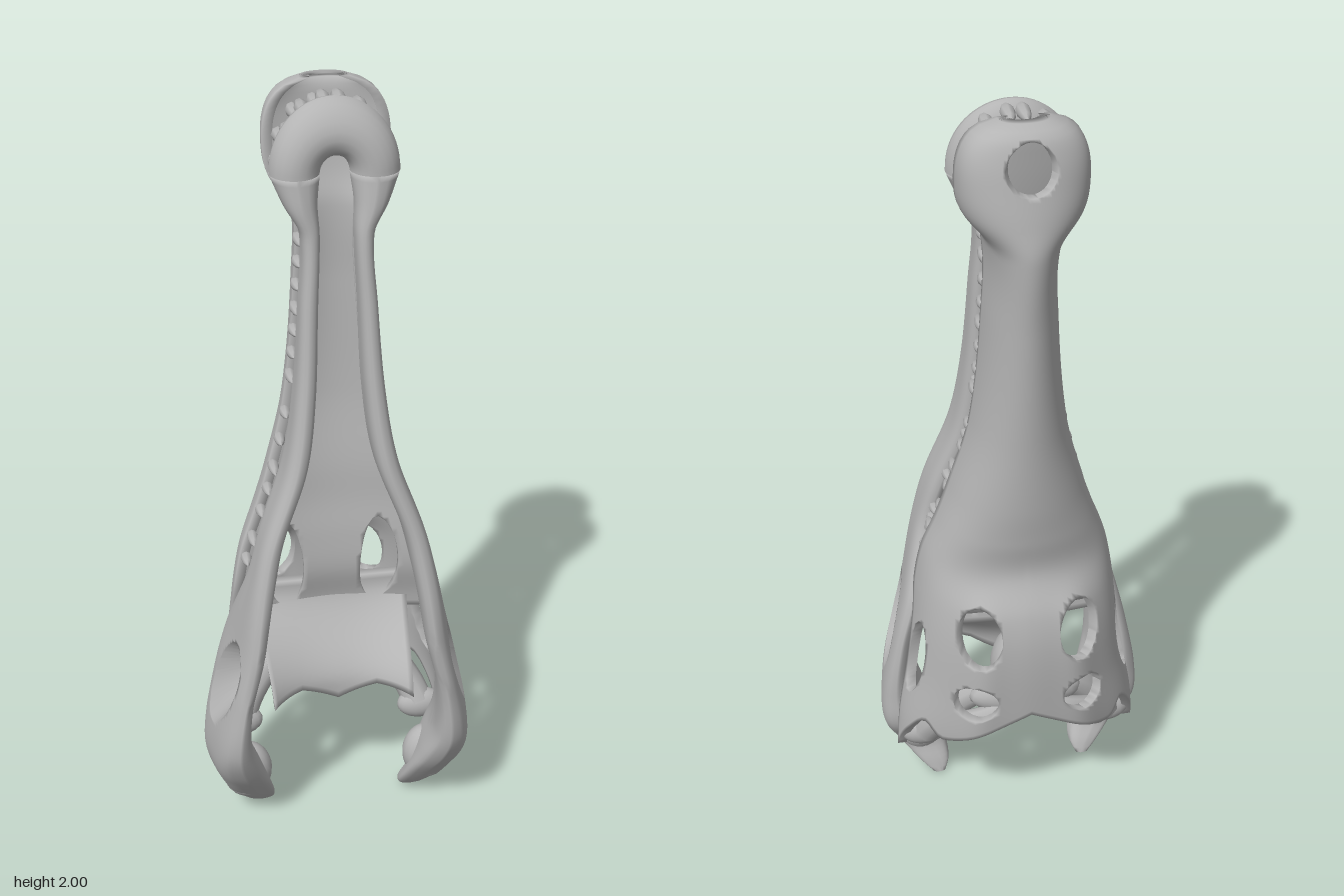
import * as THREE from 'three';

const bone = new THREE.MeshStandardMaterial({ color: 0xb4b4b4, side: THREE.DoubleSide });
bone.name = 'bone grey';
const { smoothstep } = THREE.MathUtils;

// Smooth interpolation of rows [key, a, b, ...] sorted by rising key
function table(rows) {
  return (k, col = 1) => {
    const n = rows.length;
    if (k <= rows[0][0]) return rows[0][col];
    if (k >= rows[n - 1][0]) return rows[n - 1][col];
    let i = 0;
    while (k > rows[i + 1][0]) i++;
    const slope = j => {
      const a = rows[Math.max(j - 1, 0)], b = rows[Math.min(j + 1, n - 1)];
      return (b[col] - a[col]) / (b[0] - a[0]);
    };
    const p = rows[i], q = rows[i + 1], h = q[0] - p[0], t = (k - p[0]) / h;
    const t2 = t * t, t3 = t2 * t;
    return (2 * t3 - 3 * t2 + 1) * p[col] + (t3 - 2 * t2 + t) * h * slope(i)
      + (3 * t2 - 2 * t3) * q[col] + (t3 - t2) * h * slope(i + 1);
  };
}

// Thick curved plate: pos(u, y, side) gives both faces. Holes are ellipses in (u, y):
// [u, y, ru, ry, tilt, scale, du, dy], the last three reshaping the hole on the second face
function sheet(nu, ny, low, high, pos, holes = []) {
  const verts = [], inside = [], index = [], edges = new Map();
  const count = (nu + 1) * (ny + 1);
  for (let side = 0; side < 2; side++) {
    for (let j = 0; j <= ny; j++) for (let i = 0; i <= nu; i++) {
      let u = -1 + 2 * i / nu, y = low(u) + (high - low(u)) * j / ny, hit = -1;
      holes.forEach(([u0, y0, ru, ry, tilt = 0, scale = 1, su = 0, sy = 0], h) => {
        const dy = (y - y0) / ry, du = (u - u0 - tilt * (y - y0)) / ru;
        const d = Math.hypot(du, dy);
        if (d < 1) {
          hit = h;
          const s = 1 / Math.max(d, 1e-4);
          y = y0 + dy * s * ry;
          u = u0 + du * s * ru + tilt * (y - y0);
        }
        const w = side * Math.min(1, Math.max(0, (1.6 - d) / 0.6));
        u += w * (su + (u - u0) * (scale - 1));
        y += w * (sy + (y - y0) * (scale - 1));
      });
      verts.push(...pos(u, y, side));
      inside.push(hit);
    }
  }
  const tri = (a, b, c) => {
    if (inside[a] >= 0 && inside[a] === inside[b] && inside[a] === inside[c]) return;
    index.push(a, b, c, c + count, b + count, a + count);
    for (const [p, q] of [[a, b], [b, c], [c, a]]) {
      if (!edges.delete(q + '_' + p)) edges.set(p + '_' + q, [p, q]);
    }
  };
  for (let j = 0; j < ny; j++) for (let i = 0; i < nu; i++) {
    const a = j * (nu + 1) + i, b = a + 1, c = a + nu + 1, d = c + 1;
    tri(a, b, d);
    tri(a, d, c);
  }
  // Rim walls around the outline and the openings
  for (const [a, b] of edges.values()) index.push(b, a, a + count, b, a + count, b + count);
  const g = new THREE.BufferGeometry();
  g.setAttribute('position', new THREE.Float32BufferAttribute(verts, 3));
  g.setIndex(index);
  g.computeVertexNormals();
  return g;
}

// Cranium by height: half width, tooth-line z, roof z, roundness of the arch
const cranium = table([
  [0.17, 0.33, -0.03, -0.2, 1], [0.3, 0.32, -0.025, -0.24, 1], [0.45, 0.292, -0.01, -0.255, 0.95],
  [0.6, 0.272, 0, -0.255, 0.9], [0.7, 0.262, 0.02, -0.235, 0.85], [0.8, 0.242, 0.015, -0.187, 0.75],
  [0.9, 0.205, 0, -0.195, 0.75], [1.0, 0.172, -0.01, -0.205, 0.78], [1.2, 0.12, -0.04, -0.215, 0.85],
  [1.5, 0.09, -0.05, -0.235, 0.85], [1.7, 0.09, -0.05, -0.255, 0.8], [1.78, 0.143, -0.07, -0.245, 0.72],
  [1.85, 0.155, -0.082, -0.232, 0.65], [1.93, 0.145, -0.092, -0.215, 0.6], [1.98, 0.11, -0.098, -0.195, 0.6],
  [2.0, 0.06, -0.11, -0.165, 0.6],
]);
const rearEdge = table([[0, 0.4], [0.25, 0.34], [0.5, 0.29], [0.65, 0.33], [0.8, 0.27], [1, 0.17]]);

// Lower jaw by height: outer x, inner x, front z, tooth-line z
const jaw = table([
  [0, 0.225, 0.19, 0.05, 0.022], [0.03, 0.255, 0.175, 0.085, 0.03], [0.1, 0.31, 0.185, 0.14, 0.05],
  [0.2, 0.355, 0.215, 0.21, 0], [0.3, 0.352, 0.25, 0.252, 0], [0.45, 0.32, 0.25, 0.26, 0],
  [0.6, 0.285, 0.215, 0.258, 0.01], [0.7, 0.262, 0.197, 0.25, 0.05], [0.8, 0.237, 0.178, 0.235, 0.085],
  [0.92, 0.205, 0.15, 0.215, 0.075], [1.1, 0.142, 0.085, 0.185, 0.045], [1.28, 0.112, 0.06, 0.155, 0.03],
  [1.5, 0.095, 0.05, 0.125, 0.022], [1.68, 0.088, 0.042, 0.105, 0.01], [1.75, 0.125, 0.044, 0.1, -0.01],
  [1.82, 0.155, 0.035, 0.09, -0.03],
]);

export function createModel() {
  const model = new THREE.Group();
  const add = (name, geometry, parent = model) => {
    const m = new THREE.Mesh(geometry, bone);
    m.name = name;
    parent.add(m);
    return m;
  };
  const ball = (name, x, y, z, rx, ry, rz) => {
    const m = add(name, new THREE.SphereGeometry(1, 20, 14));
    m.position.set(x, y, z);
    m.scale.set(rx, ry, rz);
  };
  const tube = (name, points, r) => add(name, new THREE.TubeGeometry(
    new THREE.CatmullRomCurve3(points.map(p => new THREE.Vector3(...p))), 16, r, 10));

  // Skull roof with nostril, eye sockets, temple and cheek openings
  const roofHoles = [[0, 1.91, 0.26, 0.06]];
  for (const s of [-1, 1]) roofHoles.push(
    [s * 0.33, 0.64, 0.15, 0.085], [s * 0.33, 0.44, 0.14, 0.055], [s * 0.85, 0.495, 0.11, 0.115, s * -0.2]);
  add('skullRoof', sheet(56, 130, u => rearEdge(Math.abs(u)), 2, (u, y, side) => {
    const a = u * Math.PI / 2, t = 0.025 * side;
    const zf = cranium(y, 2), zb = cranium(y, 3) + t;
    const arch = Math.pow(Math.max(Math.cos(a), 0), cranium(y, 4));
    const brow = 0.015 * smoothstep(0.78 - y, 0, 0.1) * Math.exp(-Math.pow((Math.abs(u) - 0.3) / 0.12, 2));
    return [(cranium(y, 1) - t) * Math.sin(a), y, zf + (zb - zf) * arch - brow];
  }, roofHoles));

  // Palate with its two long openings
  add('palate', sheet(32, 90, () => 0.56, 1.995, (u, y, side) => [
    cranium(y, 1) * 0.97 * u, y, cranium(y, 2) - 0.025 * (1 - u * u) - 0.015 * side,
  ], [[0.5, 0.72, 0.2, 0.13, 0.4], [-0.5, 0.72, 0.2, 0.13, -0.4]]));

  // Saddle-shaped plate sloping forward, with wings between the jaws
  add('palateWings', sheet(28, 16, u => 0.36 + 0.05 * Math.min(1, Math.abs(u) * 2), 0.66, (u, y, side) => {
    const f = smoothstep(0.64 - y, 0, 0.24);
    return [0.205 * u * (1 - 0.1 * f * u * u), y, -0.03 + f * (0.13 + 0.1 * Math.abs(u) ** 2.2) - 0.025 * side];
  }));

  // Braincase, rear wall and neck joint
  ball('braincase', 0, 0.45, -0.1, 0.08, 0.11, 0.1);
  ball('rearWall', 0, 0.41, -0.16, 0.15, 0.06, 0.05);
  ball('neckJoint', 0, 0.34, -0.08, 0.024, 0.08, 0.03);

  // Lower jaw tip joining both branches, thinning towards its end
  const tipShape = new THREE.TorusGeometry(0.095, 0.06, 20, 36, Math.PI);
  const p = tipShape.attributes.position;
  for (let i = 0; i < p.count; i++) {
    const h = Math.max(0, p.getY(i) / 0.155);
    p.setZ(i, p.getZ(i) * (1 - 0.3 * h * h) - 0.018 * h * h);
  }
  tipShape.computeVertexNormals();
  const tip = add('jawTip', tipShape);
  tip.position.set(0, 1.82, 0.03);
  tip.scale.y = 1.12;

  const toothShape = new THREE.LatheGeometry(
    [[0.011, 0], [0.015, 0.3], [0.01, 0.7], [0, 1]].map(q => new THREE.Vector2(...q)), 8);
  const teeth = new THREE.Group();
  teeth.name = 'teeth';
  model.add(teeth);
  // dir is +1 for upper teeth and -1 for lower teeth
  const tooth = (name, x, y, z, dir, length, width = 1) => {
    const m = add(name, toothShape, teeth);
    m.position.set(x, y, z);
    m.rotation.x = dir * Math.PI / 2;
    m.scale.set(width, length, width);
  };
  const upperRows = [1.69, 1.63, 1.57, 1.51, 1.45, 1.39, 1.33, 1.27, 1.17, 1.1, 1.03, 0.97, 0.91, 0.84, 0.78];
  const lowerRows = [1.66, 1.6, 1.54, 1.48, 1.42, 1.36, 1.26, 1.1, 0.97, 0.86, 0.83, 0.8, 0.77, 0.74, 0.71];
  const tipRows = [[0.03, 1.965], [0.08, 1.945], [0.115, 1.89], [0.125, 1.83]];

  for (const s of [-1, 1]) {
    const label = s > 0 ? 'left' : 'right';
    // Jaw branch leaning inward at its front edge; its window narrows on the inner face
    add(label + 'JawBranch', sheet(24, 130, () => 0, 1.82, (u, y, side) => {
      const xo = jaw(y, 1), xi = jaw(y, 2), zf = jaw(y, 3), zb = jaw(y, 4);
      const lean = 0.02 * smoothstep(0.9 - y, 0, 0.4) * Math.min(1, y / 0.15);
      const power = 3.5 - 1.5 * smoothstep(y, 1.6, 1.82);
      const round = Math.sqrt(Math.max(0, 1 - Math.abs(u) ** power));
      const half = Math.max(0.004, (xo - xi) / 2 * round * (1 - lean * 5));
      const x = (xo + xi) / 2 + lean * u + (side ? -half : half);
      return [s * x, y, zf + (zb - zf) * (u + 1) / 2];
    }, [[-0.08, 0.475, 0.58, 0.135, -1.6, 0.45, -0.22, 0.05]]));
    ball(label + 'JawJoint', s * 0.25, 0.14, 0.085, 0.068, 0.085, 0.055);

    // Struts running from the braincase to the jaw joint
    tube(label + 'JointStrut', [[s * 0.05, 0.43, -0.12], [s * 0.15, 0.37, -0.1], [s * 0.22, 0.28, -0.07], [s * 0.25, 0.22, -0.04]], 0.042);
    ball(label + 'JointKnob', s * 0.255, 0.215, -0.035, 0.065, 0.045, 0.035);
    tube(label + 'RearStrut', [[0, 0.4, -0.17], [s * 0.1, 0.37, -0.19], [s * 0.2, 0.33, -0.16]], 0.025);

    for (const [i, y] of upperRows.entries())
      tooth('upperTooth', s * cranium(y, 1) * 0.93, y, cranium(y, 2) - 0.01, 1, i % 3 === 1 ? 0.075 : 0.06);
    for (const [i, y] of lowerRows.entries())
      tooth('lowerTooth', s * (jaw(y, 1) + jaw(y, 2)) / 2, y, jaw(y, 4) + 0.015, -1, i % 3 === 1 ? 0.065 : 0.055);
    for (const [x, y] of tipRows) {
      tooth('upperFrontTooth', s * x, y - 0.015, cranium(y, 2) - 0.02, 1, 0.075, 1.2);
      tooth('lowerFrontTooth', s * (x - 0.012), y + 0.01, 0, -1, 0.09, 1.2);
    }
  }
  return model;
}
